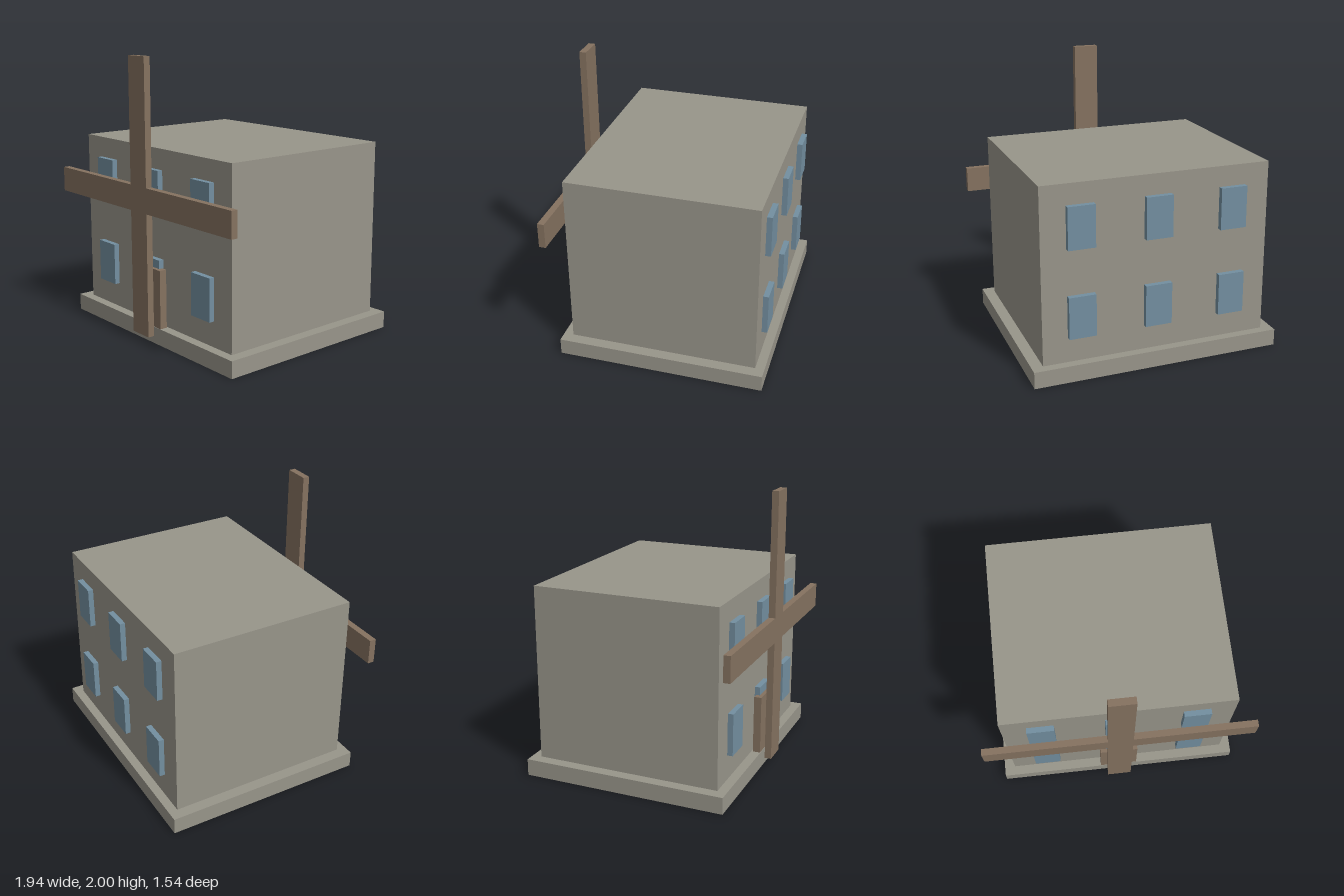
import * as THREE from 'three';

export function createModel() {
  const model = new THREE.Group();
  const mat = (name, color) => {
    const m = new THREE.MeshStandardMaterial({ color });
    m.name = name;
    return m;
  };
  const stone = mat('stone', 0x98958a);
  const glass = mat('blue glass', 0x738fa0);
  const wood = mat('brown wood', 0x857260);

  // Box given by its minimum and maximum corners
  const block = (name, material, [x0, y0, z0], [x1, y1, z1], parent = model) => {
    const mesh = new THREE.Mesh(new THREE.BoxGeometry(x1 - x0, y1 - y0, z1 - z0), material);
    mesh.position.set((x0 + x1) / 2, (y0 + y1) / 2, (z0 + z1) / 2);
    mesh.name = name;
    parent.add(mesh);
  };

  // Foundation slab, building body and front door
  block('foundation', stone, [-0.9, 0, -0.77], [0.9, 0.12, 0.705]);
  block('building', stone, [-0.82, 0.12, -0.705], [0.82, 1.375, 0.637]);
  block('door', wood, [-0.14, 0.12, 0.648], [0.14, 0.54, 0.702]);

  // Two rows of three windows on the front and back walls
  const windows = new THREE.Group();
  windows.name = 'windows';
  model.add(windows);
  for (const [side, z0, z1] of [['front', 0.637, 0.676], ['back', -0.744, -0.705]]) {
    for (const [y0, y1] of [[0.3, 0.6], [0.93, 1.228]]) {
      for (const x of [-0.547, 0, 0.547]) {
        block(side + 'Window', glass, [x - 0.096, y0, z0], [x + 0.096, y1, z1], windows);
      }
    }
  }

  // Tall flat cross standing just in front of the door
  const w = 0.09, arm = 0.97, low = 0.94, high = 1.12, foot = 0.062, top = 2;
  const outline = new THREE.Shape([
    [-w, foot], [w, foot], [w, low], [arm, low], [arm, high], [w, high],
    [w, top], [-w, top], [-w, high], [-arm, high], [-arm, low], [-w, low],
  ].map(([x, y]) => new THREE.Vector2(x, y)));
  const cross = new THREE.Mesh(
    new THREE.ExtrudeGeometry(outline, { depth: 0.048, bevelEnabled: false }), wood);
  cross.position.z = 0.722;
  cross.name = 'cross';
  model.add(cross);

  return model;
}
